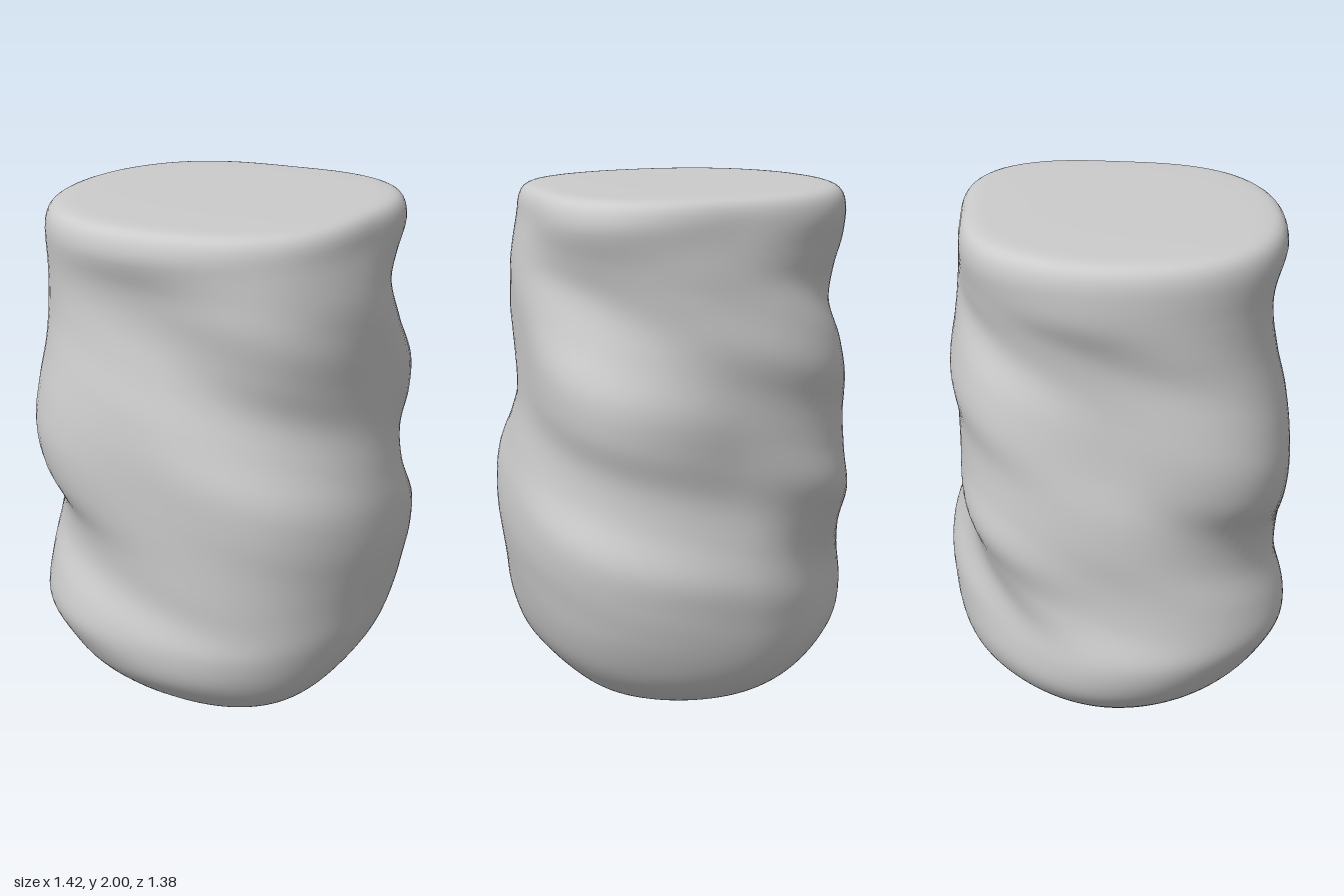
import * as THREE from 'three';

// Body radii at evenly spaced heights (0.10 to 1.90, bottom first), eight directions each:
// +x, +x+z, +z, -x+z, -x, -x-z, -z, +x-z
const RADII = [
  [0.60, 0.69, 0.64, 0.66, 0.67, 0.64, 0.67, 0.66],
  [0.635, 0.69, 0.68, 0.69, 0.71, 0.64, 0.665, 0.68],
  [0.66, 0.70, 0.68, 0.735, 0.71, 0.615, 0.67, 0.715],
  [0.69, 0.71, 0.645, 0.715, 0.665, 0.60, 0.68, 0.755],
  [0.708, 0.72, 0.65, 0.665, 0.65, 0.64, 0.635, 0.765],
  [0.70, 0.735, 0.66, 0.67, 0.655, 0.69, 0.60, 0.71],
  [0.67, 0.725, 0.665, 0.74, 0.645, 0.67, 0.61, 0.70],
  [0.642, 0.66, 0.665, 0.765, 0.615, 0.66, 0.62, 0.74],
  [0.638, 0.615, 0.645, 0.745, 0.60, 0.675, 0.622, 0.74],
  [0.64, 0.64, 0.605, 0.71, 0.592, 0.65, 0.64, 0.675],
  [0.64, 0.665, 0.578, 0.685, 0.60, 0.60, 0.62, 0.633],
  [0.62, 0.655, 0.59, 0.68, 0.65, 0.62, 0.605, 0.66],
  [0.60, 0.64, 0.635, 0.69, 0.662, 0.645, 0.595, 0.705],
];
const ROW_START = 0.1;
const ROW_STEP = 0.15;
const GROOVE_RISE = 0.17; // climb of the spiral grooves per eighth turn

// Domed base, straight wall, rounded rim and flat top: (share of the body radius, height)
const OUTLINE = new THREE.SplineCurve([
  [0, 0], [0.25, 0.004], [0.45, 0.014], [0.68, 0.045], [0.84, 0.115], [0.95, 0.22], [1, 0.36],
  [1, 0.55], [1, 0.85], [1, 1.2], [1, 1.5], [1, 1.72], [1, 1.85], [0.995, 1.92],
  [0.975, 1.962], [0.935, 1.985], [0.87, 1.994], [0.76, 1.997], [0.55, 1.999], [0.28, 2], [0, 2],
].map(([k, y]) => new THREE.Vector2(k, y)));

// Smooth blend of four neighbouring samples
function cubic(sample, t) {
  const i = Math.floor(t);
  const f = t - i;
  const [a, b, c, d] = [-1, 0, 1, 2].map((k) => sample(i + k));
  return b + 0.5 * f * (c - a + f * (2 * a - 5 * b + 4 * c - d + f * (3 * (b - c) + d - a)));
}

// Body radius at a direction u (in eighths of a turn) and height, following the grooves
function bodyRadius(u, y) {
  const { clamp, smoothstep } = THREE.MathUtils;
  const rise = GROOVE_RISE * smoothstep(y, 0.2, 0.6) * (1 - smoothstep(y, 1.6, 1.9));
  const top = RADII.length - 1;
  return cubic((k) => {
    const row = clamp((y + rise * (k - u) - ROW_START) / ROW_STEP, 0, top);
    return cubic((r) => RADII[clamp(r, 0, top)][(k + 8) % 8], row);
  }, u);
}

function createBodyGeometry(around = 96, rings = 160) {
  const positions = [];
  const indices = [];
  OUTLINE.getSpacedPoints(rings).forEach(({ x: share, y }, i) => {
    for (let j = 0; j < around; j++) {
      const angle = (j / around) * Math.PI * 2;
      const r = Math.max(0, share) * bodyRadius((j / around) * 8, y);
      positions.push(r * Math.cos(angle), THREE.MathUtils.clamp(y, 0, 2), r * Math.sin(angle));
      if (i === rings) continue;
      const a = i * around + j;
      const b = i * around + ((j + 1) % around);
      indices.push(a, a + around, b, b, a + around, b + around);
    }
  });
  const geometry = new THREE.BufferGeometry();
  geometry.setAttribute('position', new THREE.Float32BufferAttribute(positions, 3));
  geometry.setIndex(indices);
  geometry.computeVertexNormals();
  return geometry;
}

export function createModel() {
  const group = new THREE.Group();
  group.name = 'softCylinder';
  const body = new THREE.Mesh(
    createBodyGeometry(),
    new THREE.MeshStandardMaterial({ color: 0xcccccc }),
  );
  body.name = 'body';
  group.add(body);
  return group;
}
